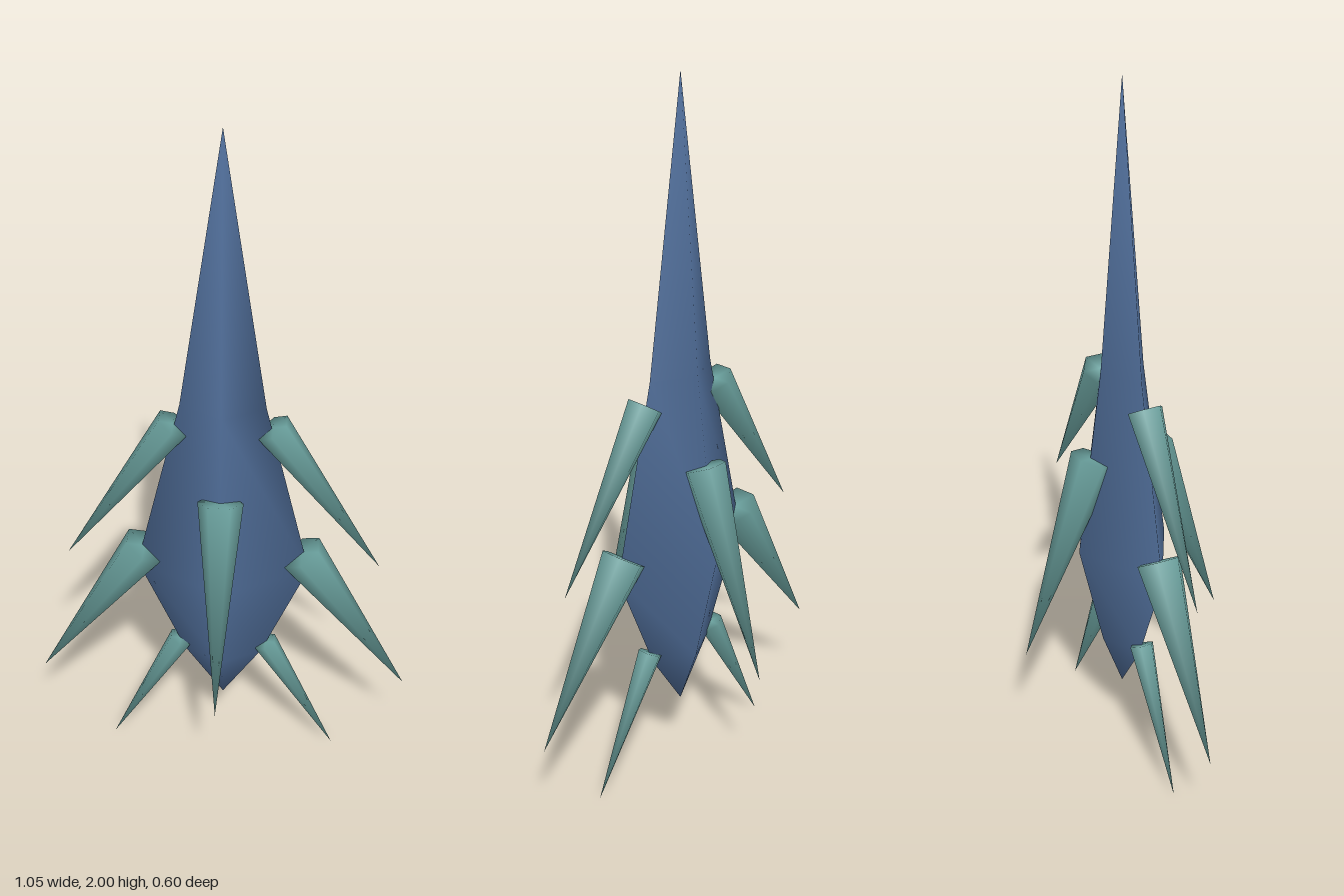
import * as THREE from 'three';

// Closed, smooth loft around y: a bottom point, rings of [radius, height], a top point.
function loft(sides, bottom, rings, top, zScale = 1) {
  const pos = [0, bottom, 0];
  const index = [];
  for (const [r, y] of rings) {
    for (let j = 0; j < sides; j++) {
      const a = (j / sides) * Math.PI * 2;
      pos.push(Math.sin(a) * r, y, Math.cos(a) * r * zScale);
    }
  }
  const last = pos.length / 3;
  pos.push(0, top, 0);
  const at = (i, j) => 1 + i * sides + (j % sides);
  const n = rings.length - 1;
  for (let j = 0; j < sides; j++) {
    index.push(0, at(0, j + 1), at(0, j));
    for (let i = 0; i < n; i++) {
      index.push(at(i, j), at(i, j + 1), at(i + 1, j));
      index.push(at(i, j + 1), at(i + 1, j + 1), at(i + 1, j));
    }
    index.push(at(n, j), at(n, j + 1), last);
  }
  const geo = new THREE.BufferGeometry();
  geo.setAttribute('position', new THREE.Float32BufferAttribute(pos, 3));
  geo.setIndex(index);
  geo.computeVertexNormals();
  return geo;
}

export function createModel() {
  const model = new THREE.Group();
  model.name = 'spikedShard';

  const blue = new THREE.MeshStandardMaterial({ color: 0x4d6a94 });
  blue.name = 'slateBlue';
  const teal = new THREE.MeshStandardMaterial({ color: 0x6ca3a0 });
  teal.name = 'paleTeal';

  // Diamond-section body tapering to a long needle
  const body = new THREE.Mesh(
    loft(4, 0.185, [[0.11, 0.35], [0.24, 0.66], [0.115, 1.2]], 2, 0.55), blue);
  body.name = 'body';
  model.add(body);

  // Six-sided spike from base to tip, both [outward, height], turned about y
  const up = new THREE.Vector3(0, 1, 0);
  function addSpike(name, radius, base, tip, turn) {
    const dir = new THREE.Vector3(tip[0] - base[0], tip[1] - base[1], 0);
    const spike = new THREE.Mesh(loft(6, 0, [[radius, 0]], dir.length()), teal);
    spike.quaternion.setFromUnitVectors(up, dir.normalize());
    spike.position.set(base[0], base[1], 0);
    const pivot = new THREE.Group();
    pivot.name = name;
    pivot.rotation.y = turn;
    pivot.add(spike);
    model.add(pivot);
  }

  // Three pairs at the sides
  for (const [side, turn] of [['left', 0], ['right', Math.PI]]) {
    addSpike(side + 'UpperSpike', 0.05, [0.133, 1.138], [0.435, 0.685], turn);
    addSpike(side + 'MiddleSpike', 0.064, [0.219, 0.72], [0.525, 0.255], turn);
    addSpike(side + 'LowerSpike', 0.035, [0.122, 0.386], [0.325, 0], turn);
  }

  // One spike in front and one behind
  addSpike('frontSpike', 0.062, [0.087, 0.948], [0.3, 0.37], -Math.PI / 2);
  addSpike('backSpike', 0.062, [0.087, 0.948], [0.3, 0.37], Math.PI / 2);

  return model;
}
